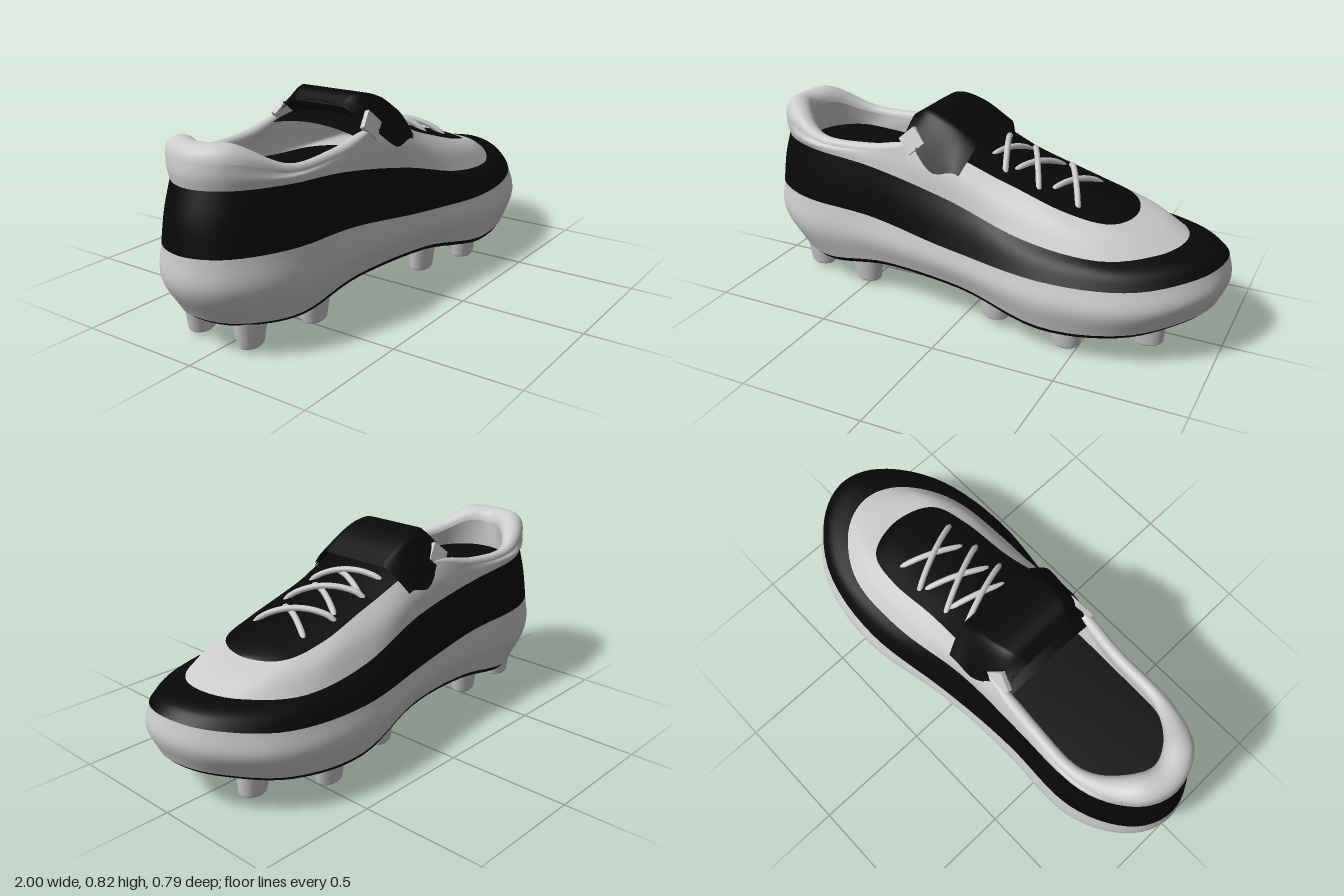
import * as THREE from 'three';

const grey = new THREE.MeshStandardMaterial({ color: 0xcccccc, side: THREE.DoubleSide });
const black = new THREE.MeshStandardMaterial({ color: 0x080808, side: THREE.DoubleSide });
const SEG = 96;
const V3 = (x, y, z) => new THREE.Vector3(x, y, z);
const { smoothstep } = THREE.MathUtils;

// Smooth interpolation of nine stations, mirrored beyond heel and toe (sign -1 = odd)
function sample(list, t, sign) {
  const n = list.length - 1;
  const s = (t / Math.PI) * n;
  const i = Math.min(Math.floor(s), n - 1), f = s - i;
  const at = (k) => (k < 0 ? sign * list[-k] : k > n ? sign * list[2 * n - k] : list[k]);
  const [p0, p1, p2, p3] = [at(i - 1), at(i), at(i + 1), at(i + 2)];
  return p1 + 0.5 * f * (p2 - p0 + f * (2 * p0 - 5 * p1 + 4 * p2 - p3 + f * (3 * (p1 - p2) + p3 - p0)));
}

// A foot-shaped outline: heel x, toe x, heights and half widths from heel to toe
function outline(x0, x1, y, w) {
  return (t) => {
    const a = Math.abs(t);
    const x = (x0 + x1) / 2 - ((x1 - x0) / 2) * Math.cos(a);
    const shift = -0.025 * smoothstep(-x, 0, 0.6);
    return V3(x, sample(y, a, 1), shift + Math.sign(t) * sample(w, a, -1));
  };
}

function surface(name, material, fn, nu, nv, closed = false) {
  const pos = [], idx = [], cols = closed ? nu : nu + 1;
  for (let j = 0; j <= nv; j++)
    for (let i = 0; i < cols; i++) pos.push(...fn(i / nu, j / nv).toArray());
  for (let j = 0; j < nv; j++)
    for (let i = 0; i < nu; i++) {
      const a = j * cols + i, b = j * cols + ((i + 1) % cols);
      idx.push(a, b, b + cols, a, b + cols, a + cols);
    }
  const g = new THREE.BufferGeometry();
  g.setAttribute('position', new THREE.Float32BufferAttribute(pos, 3));
  g.setIndex(idx);
  g.computeVertexNormals();
  const mesh = new THREE.Mesh(g, material);
  mesh.name = name;
  return mesh;
}

// Smooth wall through a stack of outlines
function wall(name, material, outlines, steps = 8) {
  return surface(name, material, (u, v) => {
    const t = (u * 2 - 1) * Math.PI;
    return new THREE.CatmullRomCurve3(outlines.map((o) => o(t))).getPoint(v);
  }, SEG, steps, true);
}

// Sheet stretched between the two sides of an outline, with an optional crown
function sheet(name, material, o, t0, crown, up) {
  return surface(name, material, (u, v) => {
    const t = t0 + u * (Math.PI - t0), s = up ? 1 - v : v;
    const p = o(t).lerp(o(-t), s);
    p.y += crown * 4 * v * (1 - v) * Math.min(1, Math.sin(t) * 1.5);
    return p;
  }, 48, 10);
}

export function createModel() {
  const shoe = new THREE.Group();
  shoe.name = 'studdedShoe';

  // Outlines from the sole up to the opening
  const soleY = [0.13, 0.115, 0.11, 0.158, 0.165, 0.11, 0.125, 0.16, 0.18];
  const soleLow = outline(-0.91, 0.95, soleY, [0, 0.13, 0.235, 0.255, 0.3, 0.36, 0.315, 0.16, 0]);
  const soleTop = outline(-0.93, 0.965, soleY.map((y) => y + 0.016),
    [0, 0.14, 0.245, 0.263, 0.308, 0.368, 0.323, 0.167, 0]);
  const bulge = outline(-1, 1, [0.27, 0.27, 0.26, 0.27, 0.265, 0.235, 0.24, 0.27, 0.29],
    [0, 0.17, 0.283, 0.292, 0.335, 0.395, 0.35, 0.195, 0]);
  const midTop = outline(-0.993, 0.985, [0.39, 0.39, 0.39, 0.375, 0.34, 0.32, 0.325, 0.355, 0.375],
    [0, 0.163, 0.272, 0.28, 0.325, 0.375, 0.33, 0.183, 0]);
  const bandMid = outline(-0.977, 0.94, [0.5, 0.5, 0.495, 0.475, 0.435, 0.38, 0.372, 0.392, 0.408],
    [0, 0.155, 0.26, 0.27, 0.297, 0.342, 0.31, 0.175, 0]);
  const bandTop = outline(-0.945, 0.83, [0.61, 0.61, 0.605, 0.58, 0.52, 0.432, 0.4, 0.412, 0.422],
    [0, 0.145, 0.24, 0.25, 0.262, 0.295, 0.277, 0.16, 0]);
  const upperMid = outline(-0.954, 0.74, [0.655, 0.655, 0.63, 0.62, 0.615, 0.53, 0.475, 0.46, 0.457],
    [0, 0.147, 0.243, 0.246, 0.25, 0.25, 0.243, 0.16, 0]);
  const rim = outline(-0.892, 0.63, [0.7, 0.7, 0.64, 0.645, 0.7, 0.605, 0.53, 0.495, 0.485],
    [0, 0.125, 0.21, 0.215, 0.215, 0.195, 0.197, 0.155, 0]);
  const insoleEdge = outline(-0.84, 0, [0.585, 0.585, 0.58, 0.57, 0.56, 0.55, 0.55, 0.55, 0.55],
    [0, 0.1, 0.18, 0.195, 0.195, 0.19, 0.17, 0.1, 0]);

  // Padded collar around the rim, thickest at the heel and fading out to the front
  const collar = (t, a) => {
    const p = rim(t), d = rim(t + 0.01).sub(rim(t - 0.01)), k = Math.abs(t);
    const r = (0.024 + 0.034 * (1 - smoothstep(k, 0.25, 0.9))) * (1 - smoothstep(k, 1.3, 1.6));
    const out = V3(-d.z, 0, d.x).normalize();
    return p.addScaledVector(out, r * Math.cos(a)).add(V3(0, r * Math.sin(a), 0));
  };

  shoe.add(
    sheet('soleBottom', black, soleLow, 0, 0, false),
    wall('soleEdge', black, [soleLow, soleTop], 2),
    wall('midsole', grey, [soleTop, bulge, midTop], 14),
    wall('sideBand', black, [midTop, bandMid, bandTop]),
    wall('upper', grey, [bandTop, upperMid, (t) => collar(t, 0)]),
    wall('lining', grey, [(t) => collar(t, Math.PI), insoleEdge], 3),
    sheet('insole', black, insoleEdge, 0, 0, true),
    sheet('lacePanel', black, rim, 1.36, 0.03, true),
    surface('collar', grey, (u, v) => collar((u * 2 - 1) * 1.6, v * Math.PI), 72, 10),
  );

  // Tongue rising from the lace panel, folded forward into a drooping flap
  const tongueLine = new THREE.CatmullRomCurve3([V3(0.02, 0.67, 0), V3(-0.15, 0.715, 0), V3(-0.26, 0.79, 0)]);
  const flapLine = new THREE.CatmullRomCurve3(
    [V3(-0.265, 0.79, 0), V3(-0.2, 0.822, 0), V3(-0.08, 0.79, 0), V3(0.03, 0.725, 0)]);
  const flap = (lift) => (u, v) => {
    const a = u * 2 - 1, p = flapLine.getPoint(v);
    const drop = Math.max(0, (Math.abs(a) - 0.6) / 0.4) ** 1.3;
    p.z = a * (0.19 + 0.07 * smoothstep(v, 0, 0.65));
    p.y -= drop * (0.05 + 0.12 * smoothstep(v, 0, 0.6) - 0.08 * smoothstep(v, 0.6, 1)) + lift;
    p.x -= 0.03 * drop * v;
    return p;
  };
  shoe.add(
    surface('tongue', black, (u, v) => {
      const a = u * 2 - 1, p = tongueLine.getPoint(v);
      return V3(p.x, p.y - 0.03 * a * a, a * 0.18);
    }, 12, 10),
    surface('tongueFlap', black, flap(0), 40, 16),
    surface('tongueFlapUnderside', black, flap(0.012), 40, 16),
  );

  // Light tabs beside the tongue
  for (const s of [-1, 1]) {
    const tab = new THREE.Mesh(new THREE.BoxGeometry(0.08, 0.08, 0.02), grey);
    tab.position.set(-0.225, 0.715, s * 0.212);
    tab.rotation.set(s * -0.35, 0, 0.75);
    tab.name = 'tongueTab';
    shoe.add(tab);
  }

  // Crossed laces: wide strands arching over shorter, flatter ones
  const lace = (xa, xb, za, zb, height) => {
    const pts = [0, 0.06, 0.25, 0.5, 0.75, 0.94, 1].map((f) => {
      const x = xa + (xb - xa) * f;
      return V3(x, 0.655 - 0.3 * x + height * Math.sin(Math.PI * f) ** 0.6, za + (zb - za) * f);
    });
    const mesh = new THREE.Mesh(
      new THREE.TubeGeometry(new THREE.CatmullRomCurve3(pts), 28, 0.012, 8), grey);
    mesh.name = 'lace';
    shoe.add(mesh);
  };
  for (const [x0, x1] of [[0.03, 0.14], [0.14, 0.28], [0.3, 0.44]]) {
    lace(x0, x1, -0.15, 0.14, 0.058);
    lace(x1, x0 + 0.02, -0.13, 0.105, 0.04);
  }

  // Five pairs of tapered studs, longer than wide: x, tip height, z of each one, tilt
  const studShape = new THREE.LatheGeometry(
    [[0, 0], [0.034, 0], [0.042, 0.01], [0.056, 0.13]].map((p) => new THREE.Vector2(...p)), 24);
  studShape.scale(1.35, 1, 1);
  const studs = [
    [-0.78, 0.013, 0.085, -0.15, 0], [-0.5, 0.022, 0.15, -0.165, 0],
    [0.14, 0.033, 0.22, -0.23, 0], [0.45, 0, 0.245, -0.26, 0], [0.755, 0.047, 0.165, -0.18, 0.1],
  ];
  for (const [x, y, zl, zr, tilt] of studs)
    for (const z of [zl, zr]) {
      const stud = new THREE.Mesh(studShape, grey);
      stud.position.set(x, y, z);
      stud.rotation.z = tilt;
      stud.name = 'stud';
      shoe.add(stud);
    }
  return shoe;
}
